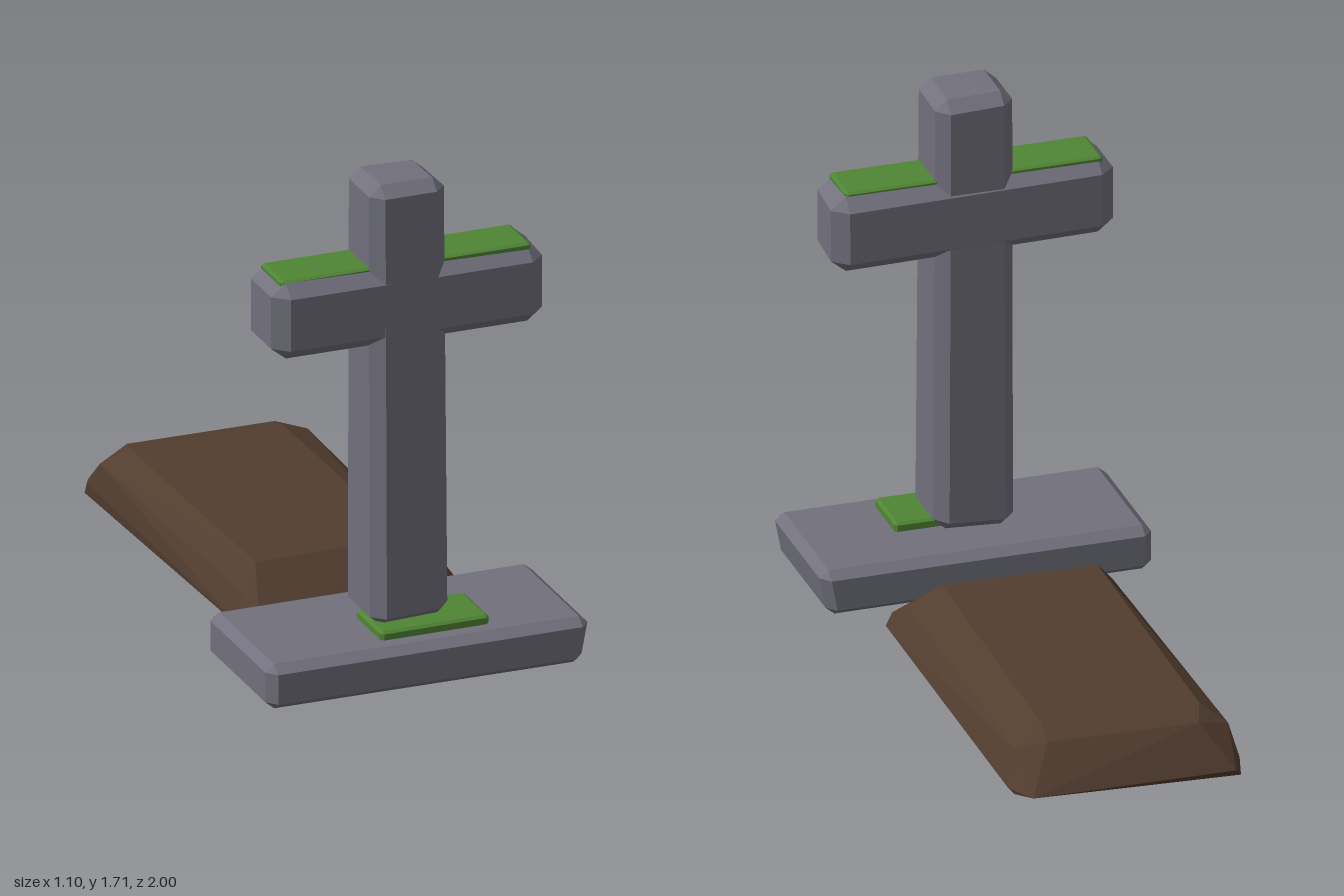
import * as THREE from 'three';
import { ConvexGeometry } from 'three/addons/geometries/ConvexGeometry.js';

const material = (color) => new THREE.MeshStandardMaterial({ color, flatShading: true });
const V = (x, y, z) => new THREE.Vector3(x, y, z);

// Block with chamfered edges between two corners; bevel is per axis, warp roughens it
function block(min, max, bevel, warp = () => {}) {
  const points = [];
  for (let corner = 0; corner < 8; corner++) {
    for (let axis = 0; axis < 3; axis++) {
      const c = [0, 1, 2].map((k) => {
        const inset = k === axis ? 0 : bevel[k];
        return corner & (1 << k) ? max[k] - inset : min[k] + inset;
      });
      const p = V(...c);
      warp(p);
      points.push(p);
    }
  }
  return new ConvexGeometry(points);
}

export function createModel() {
  const group = new THREE.Group();
  const stone = material(0x71707c);
  const moss = material(0x4f8535);
  const earth = material(0x523d2f);
  const add = (name, geometry, mat) => {
    const mesh = new THREE.Mesh(geometry, mat);
    mesh.name = name;
    group.add(mesh);
  };

  // Plinth, slightly out of level underneath
  add('plinth', block([-0.55, 0.04, 0.48], [0.55, 0.193, 1], [0.03, 0.025, 0.035], (p) => {
    if (p.y < 0.1) p.y -= 0.008 * p.x;
    else p.y -= 0.005 * p.x;
    if (p.x > 0.5 && p.y < 0.1) p.x -= 0.02;
  }), stone);

  // Upright, narrowing a little towards the top
  add('upright', block([-0.135, 0.2, 0.6], [0.13, 1.71, 0.87], [0.04, 0.035, 0.045], (p) => {
    const t = (p.y - 0.2) / 1.51;
    p.x -= 0.009 * t * (p.x > 0 ? 1 : 0);
    p.z += (0.735 - p.z) * 0.09 * t;
    if (t < 0.1) p.y += 0.05 * p.x + 0.01;
    if (t > 0.9) p.y -= 0.03 * (0.87 - p.z) * (p.x > 0 ? 1 : 0);
  }), stone);

  // Crossbar with uneven ends
  add('crossbar', block([-0.47, 1.165, 0.605], [0.47, 1.422, 0.86], [0.05, 0.04, 0.045], (p) => {
    p.y -= 0.012 * p.x;
    p.z -= 0.012 * p.x;
    if (p.x > 0.4 && p.z > 0.75) p.x -= 0.01;
    if (p.x > 0.4 && p.y < 1.3) p.x += 0.01 * (p.y - 1.3);
  }), stone);

  // Moss patches
  add('crossbarMoss', block([-0.435, 1.4, 0.645], [0.42, 1.433, 0.82], [0.01, 0.006, 0.01], (p) => {
    p.y -= 0.006 * (p.x + 0.43);
  }), moss);
  add('plinthMoss', block([-0.135, 0.185, 0.71], [0.235, 0.222, 0.92], [0.01, 0.008, 0.01]), moss);

  // Grave mound: underside, widest edge, shoulder and crown
  add('mound', new ConvexGeometry([
    V(-0.345, 0.03, 0.41), V(0.34, 0.045, 0.4), V(0.375, 0.035, -0.93), V(-0.37, 0.003, -0.95),
    V(-0.345, 0.06, 0.427), V(0.34, 0.06, 0.418), V(0.39, 0.06, 0.33), V(0.39, 0.05, -0.91),
    V(0.335, 0.045, -1), V(-0.345, 0.035, -0.98), V(-0.375, 0.05, -0.92), V(-0.38, 0.055, 0.35),
    V(-0.345, 0.14, 0.28), V(0.335, 0.145, 0.28), V(0.345, 0.15, -0.84), V(-0.36, 0.14, -0.85),
    V(-0.28, 0.218, 0.235), V(0.235, 0.222, 0.235), V(0.24, 0.2, -0.78), V(-0.28, 0.2, -0.8),
    V(-0.25, 0.175, -0.89), V(0.25, 0.175, -0.88),
  ]), earth);

  return group;
}
